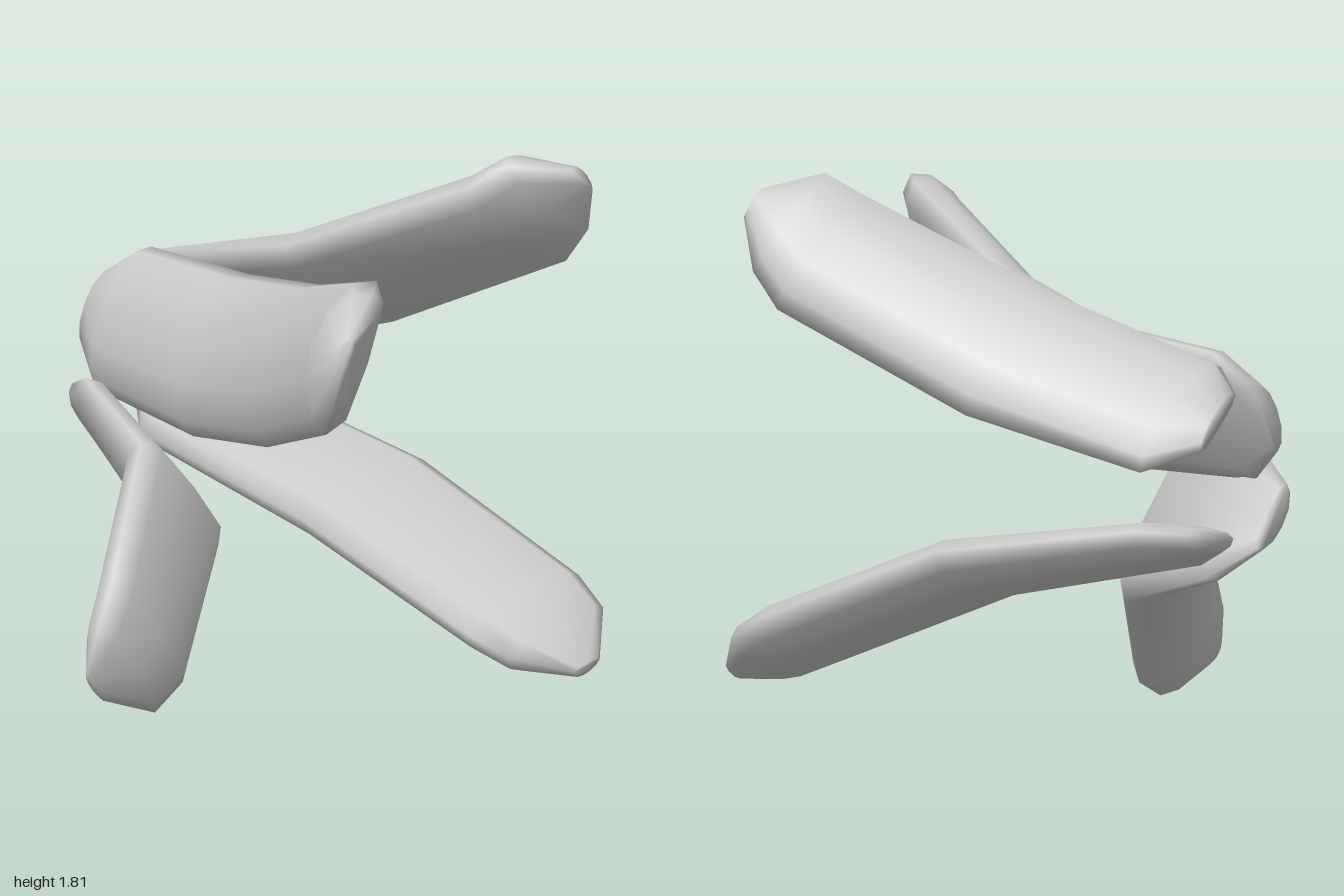
import * as THREE from 'three';

// Cross-section in (width, thickness) units: domed outside, nearly flat inside
const SECTION = [
  [1, -0.3], [0.88, 0.35], [0.5, 0.92], [0, 1.1], [-0.5, 0.92], [-0.88, 0.35],
  [-1, -0.3], [-0.75, -0.75], [0, -0.85], [0.75, -0.75],
];

// Half width and thickness unit: narrow root, broad middle, blunt pointed tip
const ROOT = [[0.13, 0.04], [0.25, 0.075]];
const MIDDLE = [0.28, 0.1];
const TIP = [[0.265, 0.105], [0.225, 0.095], [0.06, 0.03]];

function halfSize(i, count) {
  if (i < 2) return ROOT[i];
  return i < count - 3 ? MIDDLE : TIP[i - count + 3];
}

// Lofts a bent paddle along its spine points; across is its width direction
function paddleGeometry(spine, across) {
  const pts = spine.map((p) => new THREE.Vector3(...p));
  const n = SECTION.length;
  const pos = [];
  const index = [];
  pts.forEach((p, i) => {
    const tangent = pts[Math.min(i + 1, pts.length - 1)].clone()
      .sub(pts[Math.max(i - 1, 0)]).normalize();
    const w = new THREE.Vector3(...across);
    w.addScaledVector(tangent, -w.dot(tangent) * 0.5).normalize();
    const t = tangent.clone().cross(w).normalize();
    const [hw, ht] = halfSize(i, pts.length);
    for (const [u, v] of SECTION) {
      const q = p.clone().addScaledVector(w, u * hw).addScaledVector(t, v * ht);
      pos.push(q.x, q.y, q.z);
    }
  });
  for (let i = 0; i < pts.length - 1; i++) {
    for (let j = 0; j < n; j++) {
      const k = (j + 1) % n;
      const a = i * n + j, b = i * n + k, c = a + n, d = b + n;
      index.push(a, b, d, a, d, c);
    }
  }
  // End caps
  const last = (pts.length - 1) * n;
  for (let j = 1; j < n - 1; j++) {
    index.push(0, j + 1, j, last, last + j, last + j + 1);
  }
  const geo = new THREE.BufferGeometry();
  geo.setAttribute('position', new THREE.Float32BufferAttribute(pos, 3));
  geo.setIndex(index);
  geo.computeVertexNormals();
  return geo;
}

// Four paddles fanning forward from a common root at the back
const PADDLES = [
  {
    name: 'upperRightPaddle', across: [0.44, 0.9, 0],
    spine: [
      [0.06, 1.08, -1], [0.04, 1.075, -0.86], [-0.055, 1.075, -0.33], [-0.25, 1.18, 0.2],
      [-0.57, 1.385, 0.79], [-0.66, 1.415, 0.88], [-0.75, 1.45, 0.98],
    ],
  },
  {
    name: 'upperLeftPaddle', across: [0.8, -0.6, 0.08],
    spine: [
      [0.34, 1.1, -1], [0.375, 1.11, -0.87], [0.42, 1.265, -0.22],
      [0.58, 1.56, 0.43], [0.63, 1.655, 0.52], [0.69, 1.71, 0.63],
    ],
  },
  {
    name: 'lowerLeftPaddle', across: [-0.98, -0.18, 0],
    spine: [
      [0.38, 0.71, -1], [0.385, 0.69, -0.87], [0.4, 0.54, -0.1],
      [0.48, 0.265, 0.56], [0.5, 0.195, 0.69], [0.52, 0.12, 0.82],
    ],
  },
  {
    name: 'lowerRightPaddle', across: [-0.68, 0.73, 0.05],
    spine: [
      [0.03, 0.735, -1], [0, 0.71, -0.84], [-0.18, 0.595, -0.4],
      [-0.56, 0.245, -0.17], [-0.67, 0.165, -0.14], [-0.77, 0.11, -0.16],
    ],
  },
];

export function createModel() {
  const group = new THREE.Group();
  group.name = 'paddleCluster';
  const material = new THREE.MeshStandardMaterial({ color: 0xcccccc });
  for (const { name, spine, across } of PADDLES) {
    const mesh = new THREE.Mesh(paddleGeometry(spine, across), material);
    mesh.name = name;
    group.add(mesh);
  }
  return group;
}
